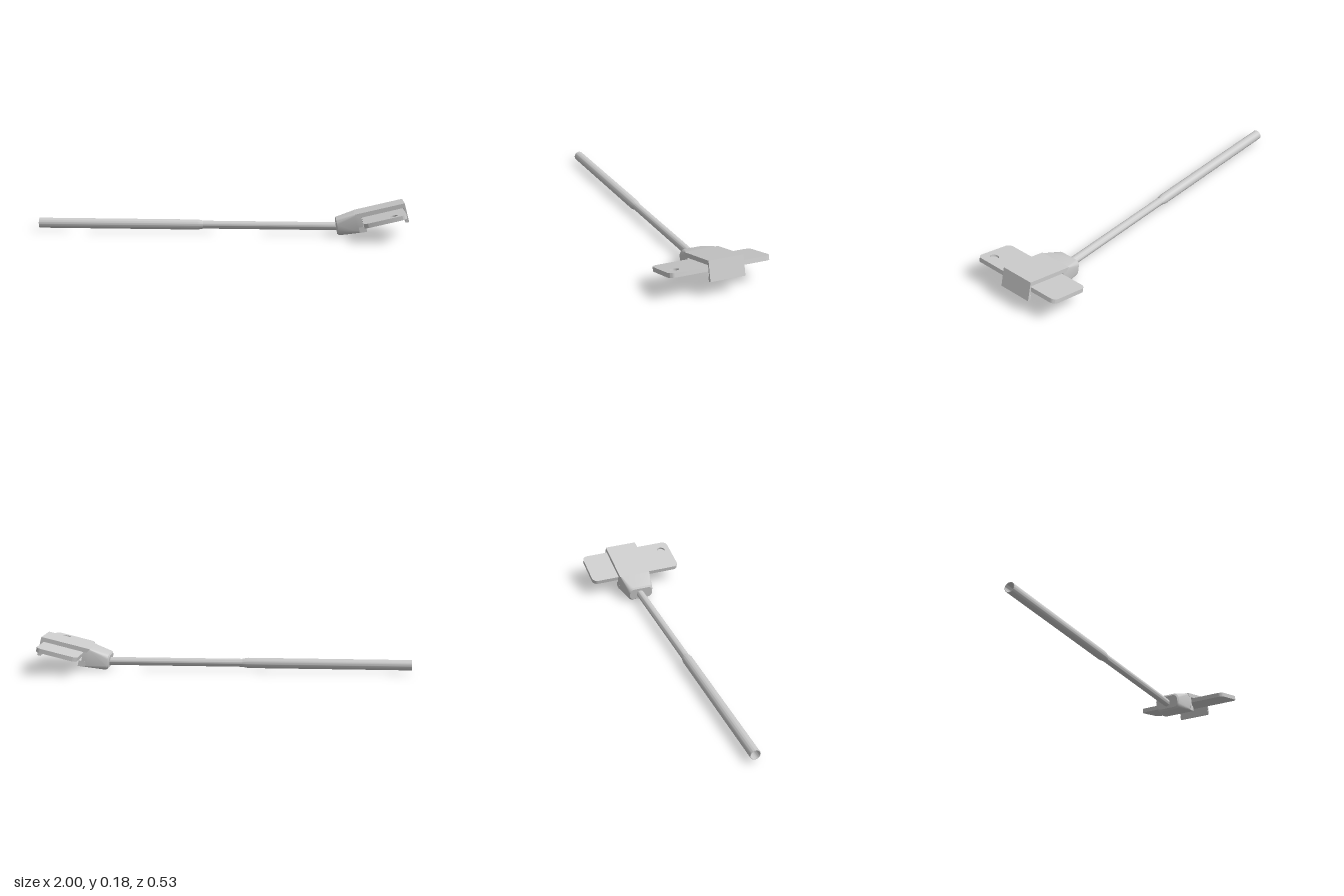
import * as THREE from 'three';
import { toCreasedNormals } from 'three/addons/utils/BufferGeometryUtils.js';

const CLAMP_Z = -0.022, CLAMP_HALF = 0.0915, TILT = 0.24;
const mat = new THREE.MeshStandardMaterial({ color: 0xcccccc });

function part(group, name, geometry) {
  const mesh = new THREE.Mesh(geometry, mat);
  mesh.name = name;
  group.add(mesh);
}

// Side profile in x/y, extruded across the width of the clamp
function sideExtrude(points) {
  const shape = new THREE.Shape(points.map(p => new THREE.Vector2(...p)));
  const g = new THREE.ExtrudeGeometry(shape, { depth: CLAMP_HALF * 2, bevelEnabled: false });
  return g.translate(0, 0, CLAMP_Z - CLAMP_HALF);
}

function roundedRect(w, h, r) {
  const s = new THREE.Shape(), x = w / 2 - r, y = h / 2 - r;
  s.absarc(x, y, r, 0, Math.PI / 2);
  s.absarc(-x, y, r, Math.PI / 2, Math.PI);
  s.absarc(-x, -y, r, Math.PI, Math.PI * 1.5);
  s.absarc(x, -y, r, Math.PI * 1.5, Math.PI * 2);
  s.closePath();
  return s;
}

// Loft along +x through rounded rectangles, each hung between a bottom and a top point
function loft(rings) {
  const pos = [], idx = [], steps = 5, n = steps * 4;
  for (const { bottom, top, half, r } of rings) {
    const h = Math.hypot(top[0] - bottom[0], top[1] - bottom[1]);
    for (let i = 0; i < n; i++) {
      const q = Math.floor(i / steps);
      const a = (q + (i % steps) / (steps - 1)) * Math.PI / 2;
      const z = (q === 0 || q === 3 ? 1 : -1) * (half - r) + Math.cos(a) * r;
      const t = ((q < 2 ? h - r : r) + Math.sin(a) * r) / h;
      pos.push(bottom[0] + (top[0] - bottom[0]) * t, bottom[1] + (top[1] - bottom[1]) * t, CLAMP_Z + z);
    }
  }
  for (let k = 0; k < rings.length - 1; k++) {
    for (let i = 0; i < n; i++) {
      const a = k * n + i, b = k * n + (i + 1) % n;
      idx.push(a, a + n, b, b, a + n, b + n);
    }
  }
  // End caps
  const last = (rings.length - 1) * n;
  for (let i = 1; i < n - 1; i++) {
    idx.push(0, i, i + 1, last, last + i + 1, last + i);
  }
  const g = new THREE.BufferGeometry();
  g.setAttribute('position', new THREE.Float32BufferAttribute(pos, 3));
  g.setIndex(idx);
  return toCreasedNormals(g, 0.5);
}

// Rod section lying along x, from a profile of [radius, x] points
function rodPart(profile) {
  const g = new THREE.LatheGeometry(profile.map(p => new THREE.Vector2(...p)), 32);
  g.rotateZ(-Math.PI / 2);
  return toCreasedNormals(g.translate(0, 0.042, -0.026), 0.6);
}

export function createModel() {
  const model = new THREE.Group();
  model.name = 'padOnRod';

  // Telescopic rod: hollow outer tube with a tapered mouth, thin inner rod
  part(model, 'outerTube', rodPart([
    [0, -0.15], [0.0245, -0.15], [0.0245, -1], [0.0275, -1], [0.0275, -0.13], [0.022, -0.1], [0, -0.1],
  ]));
  part(model, 'innerRod', rodPart([[0, -0.14], [0.0215, -0.14], [0.0215, 0.64], [0, 0.64]]));

  // Clamp: tapered socket, lower lip, and top strip bent down into a hook
  const clamp = new THREE.Group();
  clamp.name = 'clamp';
  model.add(clamp);
  part(clamp, 'socket', loft([
    { bottom: [0.622, 0.009], top: [0.61, 0.078], half: 0.066, r: 0.024 },
    { bottom: [0.634, 0.001], top: [0.615, 0.088], half: 0.073, r: 0.028 },
    { bottom: [0.735, 0.021], top: [0.71, 0.119], half: 0.0895, r: 0.008 },
    { bottom: [0.766, 0.027], top: [0.743, 0.127], half: CLAMP_HALF, r: 0.002 },
  ]));
  part(clamp, 'lowerLip', sideExtrude([[0.74, 0.022], [0.779, 0.029], [0.773, 0.059], [0.735, 0.05]]));
  part(clamp, 'topStripAndHook', sideExtrude([
    [0.71, 0.119], [0.972, 0.183], [0.998, 0.084], [0.981, 0.08], [0.975, 0.104],
    [0.982, 0.106], [0.968, 0.159], [0.73, 0.1],
  ]));

  // Flat tilted pad with a blind round recess at one end
  const pad = new THREE.Group();
  pad.name = 'pad';
  pad.position.set(0.865, 0.102, 0);
  pad.rotation.z = TILT;
  model.add(pad);
  const layer = (name, depth, y, recess) => {
    const shape = roundedRect(0.223, 0.53, 0.03);
    if (recess) shape.holes.push(new THREE.Path().absarc(0.046, -0.212, 0.023, 0, Math.PI * 2, true));
    const g = new THREE.ExtrudeGeometry(shape, { depth, bevelEnabled: false, curveSegments: 10 });
    g.rotateX(-Math.PI / 2).translate(0, y, 0);
    part(pad, name, toCreasedNormals(g, 0.6));
  };
  layer('padBase', 0.013, 0, false);
  layer('padTop', 0.01, 0.013, true);

  return model;
}
